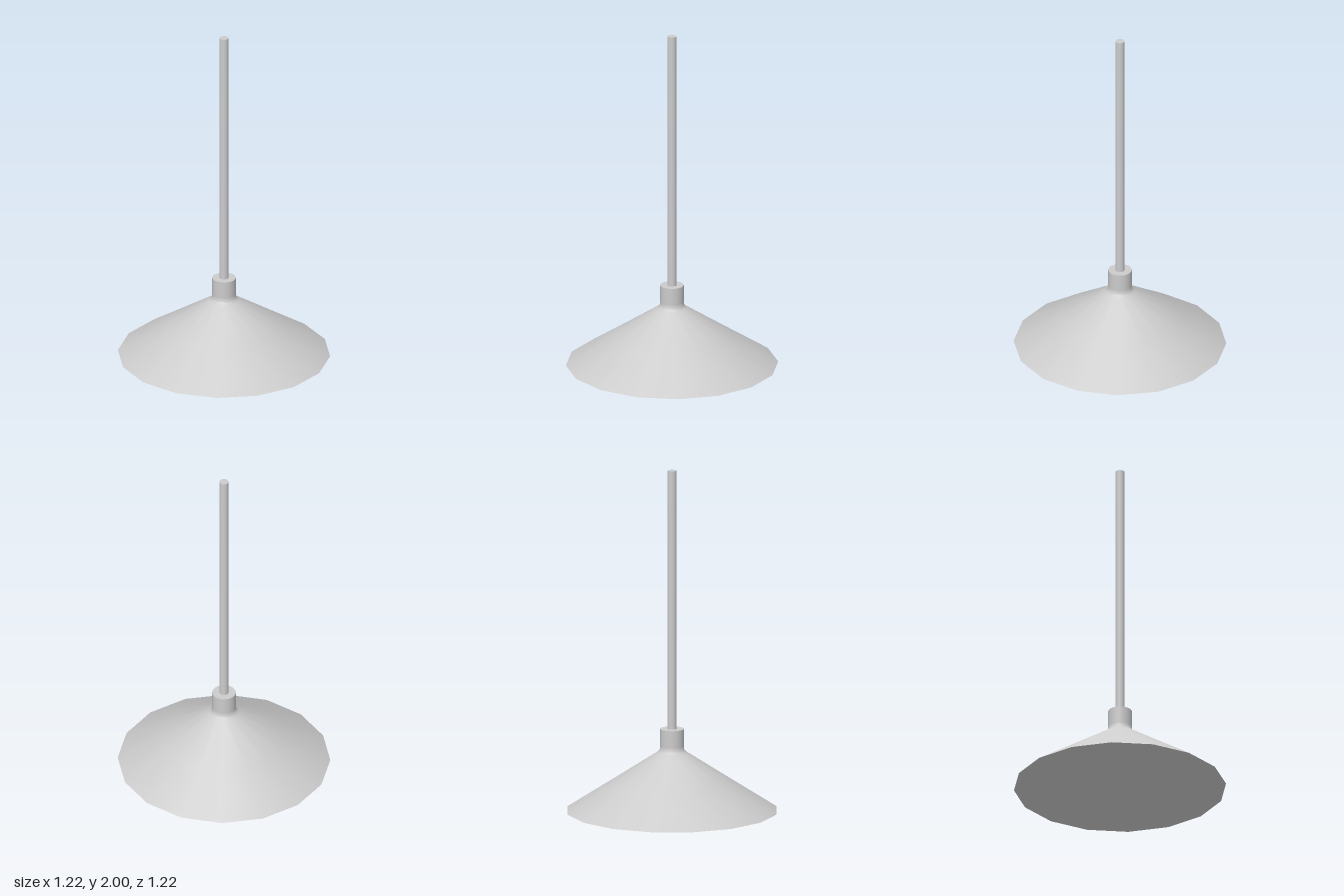
import * as THREE from 'three';

const v = (x, y) => new THREE.Vector2(x, y);

export function createModel() {
  const group = new THREE.Group();
  group.name = 'pendantLamp';
  const solid = new THREE.MeshStandardMaterial({ color: 0xcccccc });
  const thin = new THREE.MeshStandardMaterial({ color: 0xcccccc, side: THREE.DoubleSide });

  const add = (name, geometry, material, y = 0) => {
    const mesh = new THREE.Mesh(geometry, material);
    mesh.name = name;
    mesh.position.y = y;
    group.add(mesh);
  };

  // Thin open cone with a small flare up into the collar
  const shade = [v(0.612, 0), v(0.35, 0.17), v(0.09, 0.34), v(0.076, 0.351), v(0.07, 0.363), v(0.068, 0.38)];
  add('shade', new THREE.LatheGeometry(shade, 16), thin);

  // Collar: open underneath, closed on top around the rod
  add('collar', new THREE.CylinderGeometry(0.068, 0.068, 0.105, 32, 1, true), thin, 0.4275);
  add('collarTop', new THREE.CircleGeometry(0.068, 32).rotateX(-Math.PI / 2), thin, 0.48);

  // Hanging rod
  add('rod', new THREE.CylinderGeometry(0.026, 0.026, 1.52, 24), solid, 1.24);

  return group;
}
